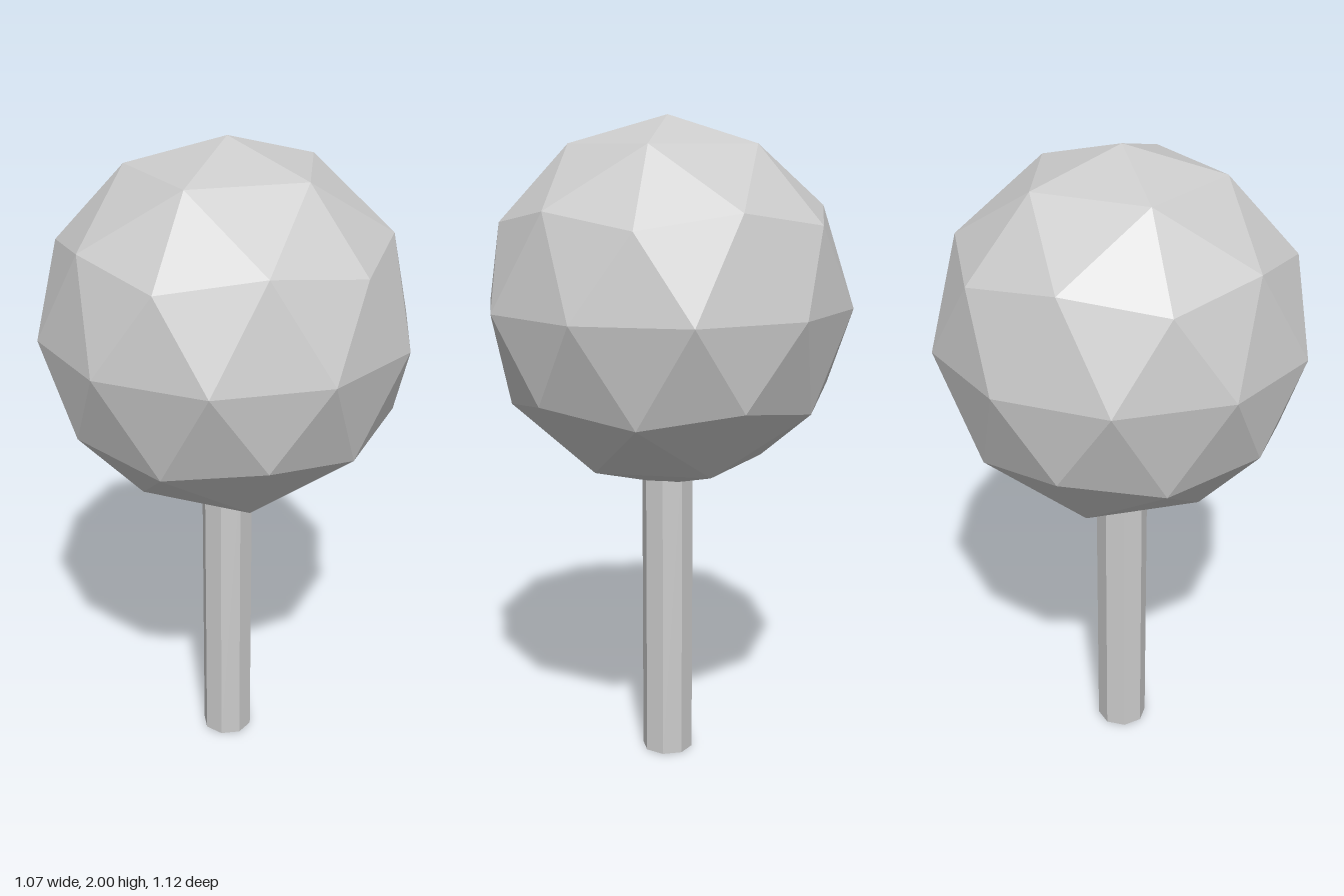
import * as THREE from 'three';

export function createModel() {
  const model = new THREE.Group();
  model.name = 'tree';
  const material = new THREE.MeshStandardMaterial({ color: 0xcccccc, flatShading: true });

  // Faceted ball of foliage, tipped so that one corner points straight up
  const crownRadius = 0.56;
  const crownGeometry = new THREE.IcosahedronGeometry(crownRadius, 1);
  const goldenRatio = (1 + Math.sqrt(5)) / 2;
  crownGeometry.rotateZ(-Math.atan(1 / goldenRatio));
  const crown = new THREE.Mesh(crownGeometry, material);
  crown.name = 'crown';
  crown.position.y = 2 - crownRadius;
  model.add(crown);

  // Eight-sided trunk, its top sunk into the crown
  const trunkHeight = 1;
  const trunk = new THREE.Mesh(new THREE.CylinderGeometry(0.08, 0.08, trunkHeight, 8), material);
  trunk.name = 'trunk';
  trunk.position.y = trunkHeight / 2;
  model.add(trunk);

  return model;
}
